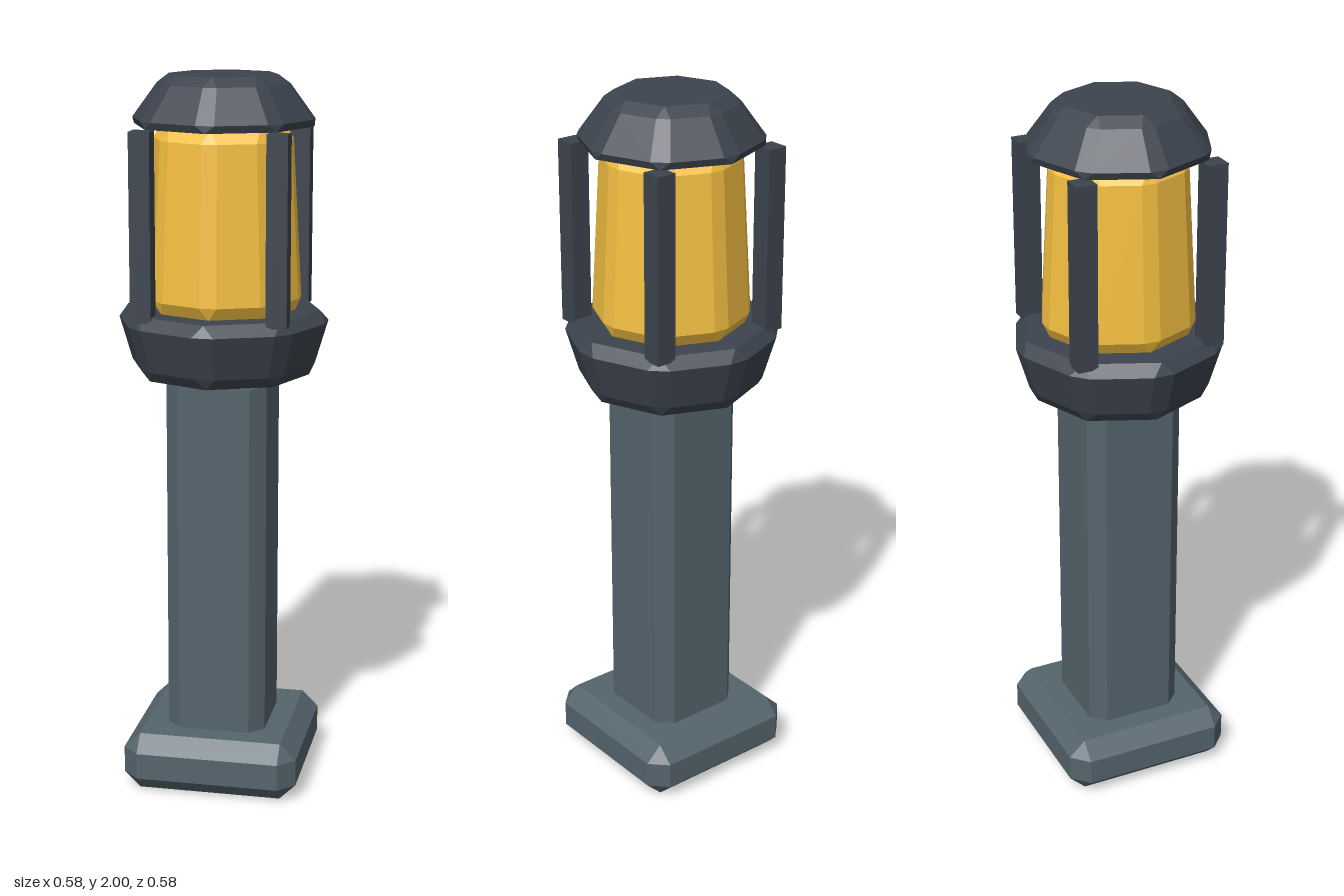
import * as THREE from 'three';
import { ConvexGeometry } from 'three/addons/geometries/ConvexGeometry.js';

const paint = (color) => new THREE.MeshStandardMaterial({ color, flatShading: true });

// Octagon ring with corners on the axes; cut > 0 trims every corner into two points
function ring(radius, y, cut = 0) {
  const corner = (i) => new THREE.Vector3(
    radius * Math.cos(i * Math.PI / 4), y, radius * Math.sin(i * Math.PI / 4));
  const points = [];
  for (let i = 0; i < 8; i++) {
    if (!cut) points.push(corner(i));
    else points.push(corner(i).lerp(corner(i + 1), cut), corner(i).lerp(corner(i + 1), 1 - cut));
  }
  return points;
}

// Tapered octagonal drum with bevelled rims: rows of [radius, y, cut]
const drum = (rows) => new ConvexGeometry(rows.flatMap((row) => ring(...row)));

// Square block from y0 to y1 with all edges chamfered
function block(half, y0, y1, bevel, bevelY) {
  const points = [];
  const inner = half - bevel;
  for (const sx of [-1, 1]) for (const sz of [-1, 1]) {
    for (const [y, dir] of [[y0, 1], [y1, -1]]) {
      points.push(
        new THREE.Vector3(sx * inner, y, sz * inner),
        new THREE.Vector3(sx * half, y + dir * bevelY, sz * inner),
        new THREE.Vector3(sx * inner, y + dir * bevelY, sz * half));
    }
  }
  return new ConvexGeometry(points);
}

export function createModel() {
  const group = new THREE.Group();
  const slate = paint(0x55646d);
  const dark = paint(0x3d444e);
  const amber = paint(0xf6c142);

  const add = (name, geometry, material) => {
    const mesh = new THREE.Mesh(geometry, material);
    mesh.name = name;
    group.add(mesh);
    return mesh;
  };

  // Foot and shaft
  add('base', block(0.247, 0, 0.165, 0.046, 0.045), slate);
  add('shaft', block(0.14, 0.13, 1.19, 0.04, 0.022), slate);

  // Collar that carries the lantern
  add('collar', drum([
    [0.24, 1.185], [0.264, 1.215, 0.14], [0.301, 1.335, 0.14], [0.27, 1.366],
  ]), dark);

  // Glowing lamp glass
  add('lampGlass', drum([
    [0.2, 1.364], [0.223, 1.4, 0.15], [0.198, 1.83, 0.15], [0.175, 1.866],
  ]), amber);

  // Four corner bars around the glass
  const bar = new THREE.BoxGeometry(0.057, 0.51, 0.057);
  for (const sx of [-1, 1]) for (const sz of [-1, 1]) {
    add('cornerBar', bar, dark).position.set(sx * 0.184, 1.607, sz * 0.184);
  }

  // Domed cap
  add('cap', drum([
    [0.248, 1.864], [0.257, 1.884, 0.14], [0.187, 1.976, 0.14], [0.15, 2],
  ]), dark);

  return group;
}
